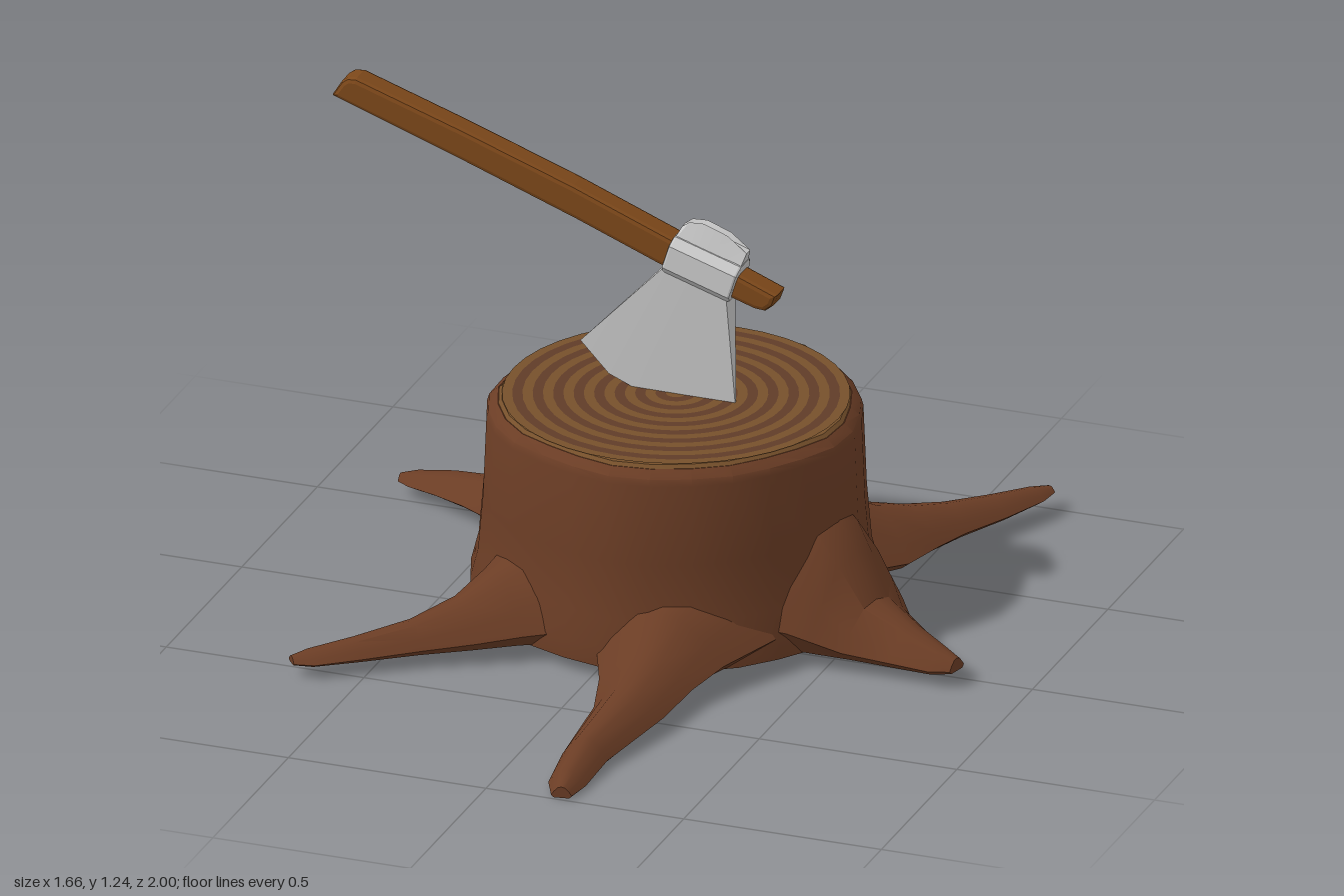
import * as THREE from 'three';
import { toCreasedNormals } from 'three/addons/utils/BufferGeometryUtils.js';

const CX = 0.03, CZ = -0.18, SIDES = 28;
const mat = (color) => new THREE.MeshStandardMaterial({ color, roughness: 0.9 });
const V = (x, y, z) => new THREE.Vector3(x, y, z);

// Skin closed loops of equal length, with fan caps at both ends, facing outward.
function loft(sections, crease = 0.6) {
  const n = sections[0].length, pts = sections.flat(), idx = [];
  for (let i = 0; i < sections.length - 1; i++)
    for (let j = 0; j < n; j++) {
      const a = i * n + j, b = i * n + (j + 1) % n;
      idx.push(a, b, b + n, a, b + n, a + n);
    }
  const cap = (start, flip) => {
    const c = pts.length, centre = V(0, 0, 0);
    for (let j = 0; j < n; j++) centre.addScaledVector(pts[start + j], 1 / n);
    pts.push(centre);
    for (let j = 0; j < n; j++) {
      const a = start + j, b = start + (j + 1) % n;
      idx.push(c, flip ? b : a, flip ? a : b);
    }
  };
  cap(0, true);
  cap((sections.length - 1) * n, false);
  // reverse the faces when the enclosed volume is negative
  let volume = 0;
  const cross = V(0, 0, 0);
  for (let i = 0; i < idx.length; i += 3)
    volume += pts[idx[i]].dot(cross.crossVectors(pts[idx[i + 1]], pts[idx[i + 2]]));
  if (volume < 0) idx.reverse();
  const g = new THREE.BufferGeometry().setFromPoints(pts);
  g.setIndex(idx);
  return toCreasedNormals(g, crease);
}

function add(parent, name, geometry, material) {
  const m = new THREE.Mesh(geometry, material);
  m.name = name;
  parent.add(m);
  return m;
}

// Slightly uneven ring around the stump's axis
function ring(r, y, wobble = 0.006) {
  return Array.from({ length: SIDES }, (_, i) => {
    const a = (i / SIDES) * Math.PI * 2;
    const rr = r + wobble * (Math.sin(a * 5 + 1) + 0.6 * Math.sin(a * 9));
    return V(CX + rr * Math.cos(a), y, CZ + rr * Math.sin(a));
  });
}

// Root stations: x, z, half width, bottom, top
const ROOTS = {
  backLeftRoot: [[0.25, -0.4, 0.2, 0.045, 0.26], [0.4, -0.55, 0.15, 0.042, 0.16], [0.45, -0.64, 0.105, 0.042, 0.13],
    [0.51, -0.73, 0.07, 0.042, 0.11], [0.58, -0.84, 0.053, 0.045, 0.095], [0.64, -0.95, 0.038, 0.05, 0.08], [0.665, -0.995, 0.018, 0.055, 0.07]],
  backRightRoot: [[-0.27, -0.33, 0.24, 0.045, 0.27], [-0.4, -0.42, 0.15, 0.042, 0.18], [-0.48, -0.46, 0.105, 0.04, 0.13],
    [-0.58, -0.505, 0.08, 0.036, 0.1], [-0.68, -0.54, 0.066, 0.035, 0.08], [-0.77, -0.55, 0.045, 0.036, 0.064], [-0.808, -0.545, 0.022, 0.04, 0.055]],
  frontRightRoot: [[-0.2, 0.1, 0.22, 0.045, 0.28], [-0.28, 0.21, 0.13, 0.042, 0.2], [-0.34, 0.28, 0.09, 0.04, 0.15],
    [-0.43, 0.36, 0.06, 0.038, 0.11], [-0.54, 0.45, 0.047, 0.036, 0.085], [-0.63, 0.52, 0.04, 0.036, 0.068], [-0.665, 0.548, 0.02, 0.04, 0.058]],
  frontRoot: [[0.17, 0.12, 0.23, 0.045, 0.27], [0.165, 0.28, 0.16, 0.042, 0.19], [0.175, 0.4, 0.115, 0.035, 0.13],
    [0.188, 0.55, 0.088, 0.028, 0.11], [0.17, 0.79, 0.057, 0.014, 0.08], [0.178, 0.93, 0.046, 0.008, 0.055], [0.188, 0.993, 0.025, 0.01, 0.038]],
  leftRoot: [[0.34, -0.12, 0.27, 0.045, 0.42], [0.48, -0.08, 0.2, 0.042, 0.33], [0.53, -0.06, 0.17, 0.04, 0.26],
    [0.59, -0.04, 0.13, 0.036, 0.16], [0.69, -0.005, 0.085, 0.034, 0.12], [0.78, 0.025, 0.055, 0.036, 0.09], [0.822, 0.035, 0.03, 0.042, 0.075]],
};
// Root cross-section: across, height fraction
const ROOT_PROFILE = [[-1, 0.22], [-0.75, 0.55], [-0.35, 0.92], [0, 1], [0.35, 0.92], [0.75, 0.55], [1, 0.22], [0.75, 0], [-0.75, 0]];

function rootGeometry(stations) {
  return loft(stations.map(([x, z, w, y0, y1], i) => {
    const p = stations[Math.max(i - 1, 0)], q = stations[Math.min(i + 1, stations.length - 1)];
    const d = V(q[0] - p[0], 0, q[1] - p[1]).normalize();
    return ROOT_PROFILE.map(([u, v]) => V(x - d.z * w * u, y0 + (y1 - y0) * v, z + d.x * w * u));
  }));
}

// Plate between two lines of [x, y] points, with its own half thickness at each line
function plate(from, to, t0, t1) {
  const side = (pts, t) => [
    ...pts.map(([x, y]) => V(x, y, CZ + t)),
    ...pts.map(([x, y]) => V(x, y, CZ - t)).reverse(),
  ];
  return loft([side(from, t0), side(to, t1)], 0.4);
}
const line = (a, b, n) => Array.from({ length: n }, (_, i) =>
  [a[0] + (b[0] - a[0]) * i / (n - 1), a[1] + (b[1] - a[1]) * i / (n - 1)]);

// Outline extruded to a total depth, centred on z = 0, with chamfered edges
function chamfered(points, depth, bevel) {
  const shape = new THREE.Shape(points.map(([x, y]) => new THREE.Vector2(x, y)));
  const g = new THREE.ExtrudeGeometry(shape, {
    depth: depth - 2 * bevel, bevelEnabled: true, bevelThickness: bevel,
    bevelSize: bevel, bevelOffset: -bevel, bevelSegments: 2,
  });
  return g.translate(0, 0, -(depth - 2 * bevel) / 2);
}

export function createModel() {
  const model = new THREE.Group();
  const bark = mat(0x6b3d25), paleWood = mat(0x76502b), darkWood = mat(0x603c28);
  const handleWood = mat(0x7d481a), steel = mat(0xcccccc);

  // Stump with roots
  const stump = new THREE.Group();
  stump.name = 'stump';
  model.add(stump);
  const levels = [[0.485, 0.04], [0.485, 0.09], [0.467, 0.16], [0.455, 0.3], [0.447, 0.5], [0.442, 0.517], [0.42, 0.535]];
  add(stump, 'trunk', loft(levels.map(([r, y]) => ring(r, y))), bark);
  for (const [name, stations] of Object.entries(ROOTS)) add(stump, name, rootGeometry(stations), bark);

  // Sawn top with growth rings
  add(stump, 'sawnRim', loft([ring(0.425, 0.528), ring(0.41, 0.543)]), paleWood);
  const count = 17, outer = 0.412;
  for (let i = 0; i < count; i++) {
    const g = new THREE.RingGeometry(outer * i / count, outer * (i + 1) / count, 40);
    g.rotateX(-Math.PI / 2).translate(CX, 0.546, CZ);
    add(stump, 'growthRing' + (i + 1), g, i % 2 ? darkWood : paleWood);
  }

  // Axe stuck in the stump
  const axe = new THREE.Group();
  axe.name = 'axe';
  model.add(axe);
  const handle = chamfered([[-0.83, 1.192], [-0.805, 1.232], [-0.79, 1.243], [-0.768, 1.245], [-0.5, 1.155], [-0.22, 1.055],
    [0.02, 0.96], [0.295, 0.85], [0.285, 0.822], [0.265, 0.806], [0.24, 0.808], [0, 0.885], [-0.21, 0.968], [-0.5, 1.075]], 0.07, 0.012);
  add(axe, 'handle', handle, handleWood).position.z = CZ;

  // Socket: rounded sleeve wrapped around the handle
  const socket = chamfered([[-0.05, -0.03], [-0.03, -0.05], [0.03, -0.05], [0.05, -0.03],
    [0.05, 0.03], [0.03, 0.05], [-0.03, 0.05], [-0.05, 0.03]], 0.18, 0.006);
  socket.rotateY(Math.PI / 2).rotateZ(-0.31);
  add(axe, 'socket', socket, steel).position.set(0.106, 0.89, CZ);

  // Wedge blade with a curved cutting edge, and the blunt back of the head
  const edge = [[-0.212, 0.645], [-0.14, 0.57], [-0.08, 0.545], [0.05, 0.52], [0.182, 0.515]];
  add(axe, 'blade', plate(line([0.005, 0.875], [0.168, 0.822], 5), edge, 0.03, 0.001), steel);
  const back = [[0.05, 0.985], [0.068, 0.998], [0.105, 1.0], [0.165, 0.978], [0.213, 0.94]];
  add(axe, 'poll', plate(line([0.03, 0.945], [0.198, 0.893], 5), back, 0.032, 0.012), steel);

  return model;
}
